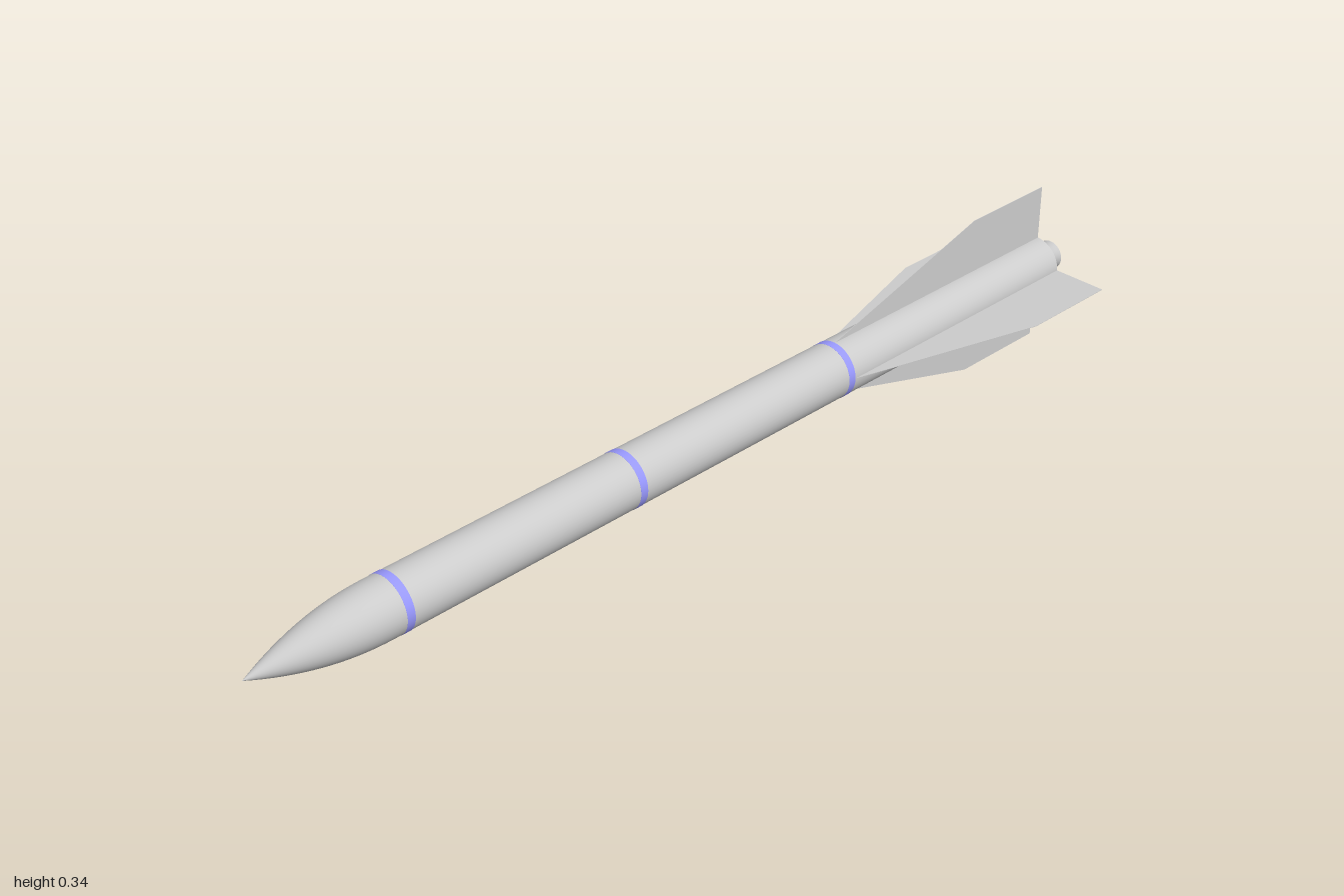
import * as THREE from 'three';

const AXIS_Y = 0.168, R = 0.055, TAIL = -0.955, SHOULDER = 0.735, SIDES = 48;

const grey = new THREE.MeshStandardMaterial({ color: 0xcccccc });
const greyDouble = new THREE.MeshStandardMaterial({ color: 0xcccccc, side: THREE.DoubleSide });
const violet = new THREE.MeshStandardMaterial({ color: 0x9999ff });

// Surface of revolution about the z axis from [radius, z] pairs, ordered tail to nose
function turned(name, profile, material) {
  const points = profile.map(([r, z]) => new THREE.Vector2(r, z));
  const mesh = new THREE.Mesh(new THREE.LatheGeometry(points, SIDES).rotateX(Math.PI / 2), material);
  mesh.name = name;
  return mesh;
}

export function createModel() {
  const model = new THREE.Group();
  model.name = 'rocket';
  const rocket = new THREE.Group();
  rocket.name = 'airframe';
  rocket.position.y = AXIS_Y;
  model.add(rocket);

  // Body tube, closed at the tail
  const tube = new THREE.CylinderGeometry(R, R, SHOULDER - TAIL, SIDES).rotateX(Math.PI / 2);
  const body = new THREE.Mesh(tube, grey);
  body.name = 'body';
  body.position.z = (SHOULDER + TAIL) / 2;
  rocket.add(body);

  // Pointed ogive nose
  const nose = [];
  for (let i = 0; i <= 16; i++) {
    const t = i / 16;
    nose.push([R * (1 - t * t), SHOULDER + (1 - SHOULDER) * t]);
  }
  rocket.add(turned('noseCone', nose, grey));

  // Coloured joint bands
  for (const z of [0.71, 0.195, -0.34]) {
    const r = R + 0.0006, h = 0.008;
    rocket.add(turned('band', [[R - 0.001, z - h], [r, z - h], [r, z + h], [R - 0.001, z + h]], violet));
  }

  // Flared, hollow exhaust nozzle
  rocket.add(turned('nozzle', [
    [0.0, -0.962], [0.011, -0.962], [0.017, -0.975], [0.029, -1],
    [0.030, -1], [0.025, -0.984], [0.018, -0.968], [0.014, TAIL],
  ], greyDouble));

  // Four thin swept fins; shape x is the radius, shape y runs along the body
  const outline = new THREE.Shape([
    [R - 0.003, TAIL], [0.168, TAIL], [0.168, -0.745], [R, -0.35], [R - 0.003, -0.35],
  ].map(([x, y]) => new THREE.Vector2(x, y)));
  const finGeometry = new THREE.ExtrudeGeometry(outline, { depth: 0.001, bevelEnabled: false })
    .translate(0, 0, -0.0005).rotateX(Math.PI / 2);
  for (let i = 0; i < 4; i++) {
    const fin = new THREE.Mesh(finGeometry, greyDouble);
    fin.name = 'fin';
    fin.rotation.z = i * Math.PI / 2;
    rocket.add(fin);
  }
  return model;
}
